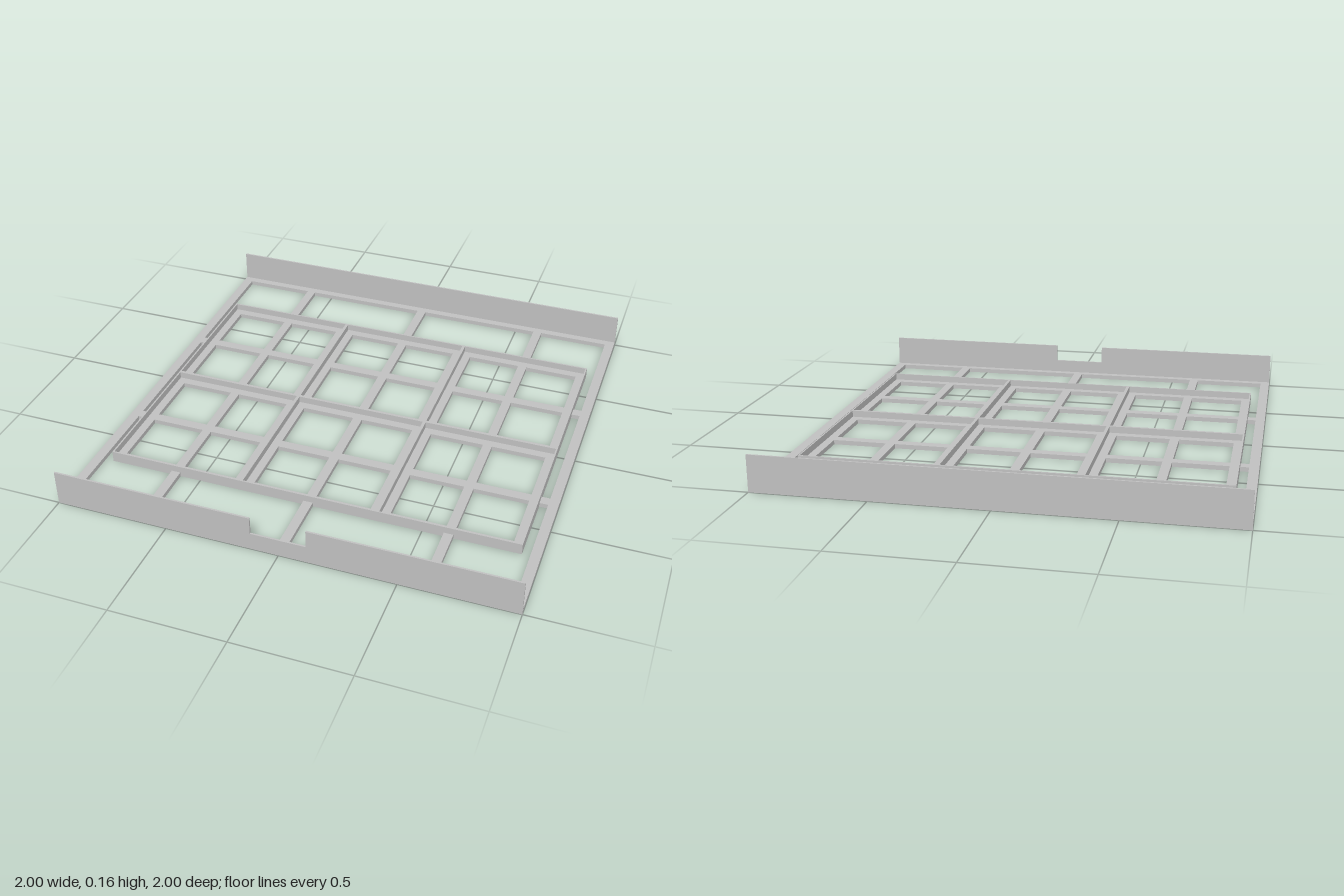
import * as THREE from 'three';

const grey = new THREE.MeshStandardMaterial({ color: 0xc0c0c0 });
grey.name = 'light grey';

const points = (list) => list.map(([x, y]) => new THREE.Vector2(x, y));
const rect = (x0, x1, z0, z1) => [[x0, z0], [x1, z0], [x1, z1], [x0, z1]];

// Flat plate lying in x/z, from y0 to y1, cut by the given outlines
function plate(name, outline, holes, y0, y1) {
  const shape = new THREE.Shape(points(outline));
  holes.forEach((h) => shape.holes.push(new THREE.Path(points(h))));
  const geo = new THREE.ExtrudeGeometry(shape, { depth: y1 - y0, bevelEnabled: false });
  geo.rotateX(Math.PI / 2).translate(0, y1, 0);
  const mesh = new THREE.Mesh(geo, grey);
  mesh.name = name;
  return mesh;
}

export function createModel() {
  const model = new THREE.Group();
  model.name = 'trayRack';

  const LIP = 0.008; // lip thickness
  const RIM = 0.957; // inner edge of the outer frame
  const TX = 0.92, TZ = 0.67; // half size of the tray block

  // Openings of the floor lattice, mirrored into four quadrants
  const holes = [];
  for (const sx of [-1, 1]) {
    for (const sz of [-1, 1]) {
      const add = (list) => holes.push(list.map(([x, z]) => [x * sx, z * sz]));
      for (const [x0, x1] of [[0.021, 0.263], [0.351, 0.593], [0.634, 0.876]]) {
        for (const [z0, z1] of [[0.045, 0.313], [0.357, 0.625]]) add(rect(x0, x1, z0, z1));
      }
      add(rect(0.021, 0.593, TZ, RIM));
      // L-shaped corner opening
      add([[0.634, TZ], [TX, TZ], [TX, 0.357], [RIM, 0.357], [RIM, RIM], [0.634, RIM]]);
    }
    holes.push(rect(sx * TX, sx * RIM, -0.313, 0.313));
  }
  model.add(plate('floorLattice', rect(-1, 1, -1 + LIP, 1 - LIP), holes, 0, 0.02));

  // Low walls around the three by two trays
  const wall = 0.007, w = (2 * TX) / 3;
  const cells = [];
  for (let i = 0; i < 3; i++) {
    for (let j = 0; j < 2; j++) {
      const x = -TX + i * w, z = -TZ + j * TZ;
      cells.push(rect(x + wall, x + w - wall, z + wall, z + TZ - wall));
    }
  }
  model.add(plate('trayWalls', rect(-TX, TX, -TZ, TZ), cells, 0.02, 0.05));

  // Upright lips, the front one notched
  const H = 0.16, N = 0.12;
  const lip = (name, outline, z) => {
    const geo = new THREE.ExtrudeGeometry(new THREE.Shape(points(outline)), { depth: LIP, bevelEnabled: false });
    const mesh = new THREE.Mesh(geo, grey);
    mesh.name = name;
    mesh.position.z = z;
    model.add(mesh);
  };
  lip('backLip', rect(-1, 1, 0, H), -1);
  lip('frontLip', [[-1, 0], [1, 0], [1, H], [N, H], [N, 0.08], [-N, 0.08], [-N, H], [-1, H]], 1 - LIP);

  return model;
}
